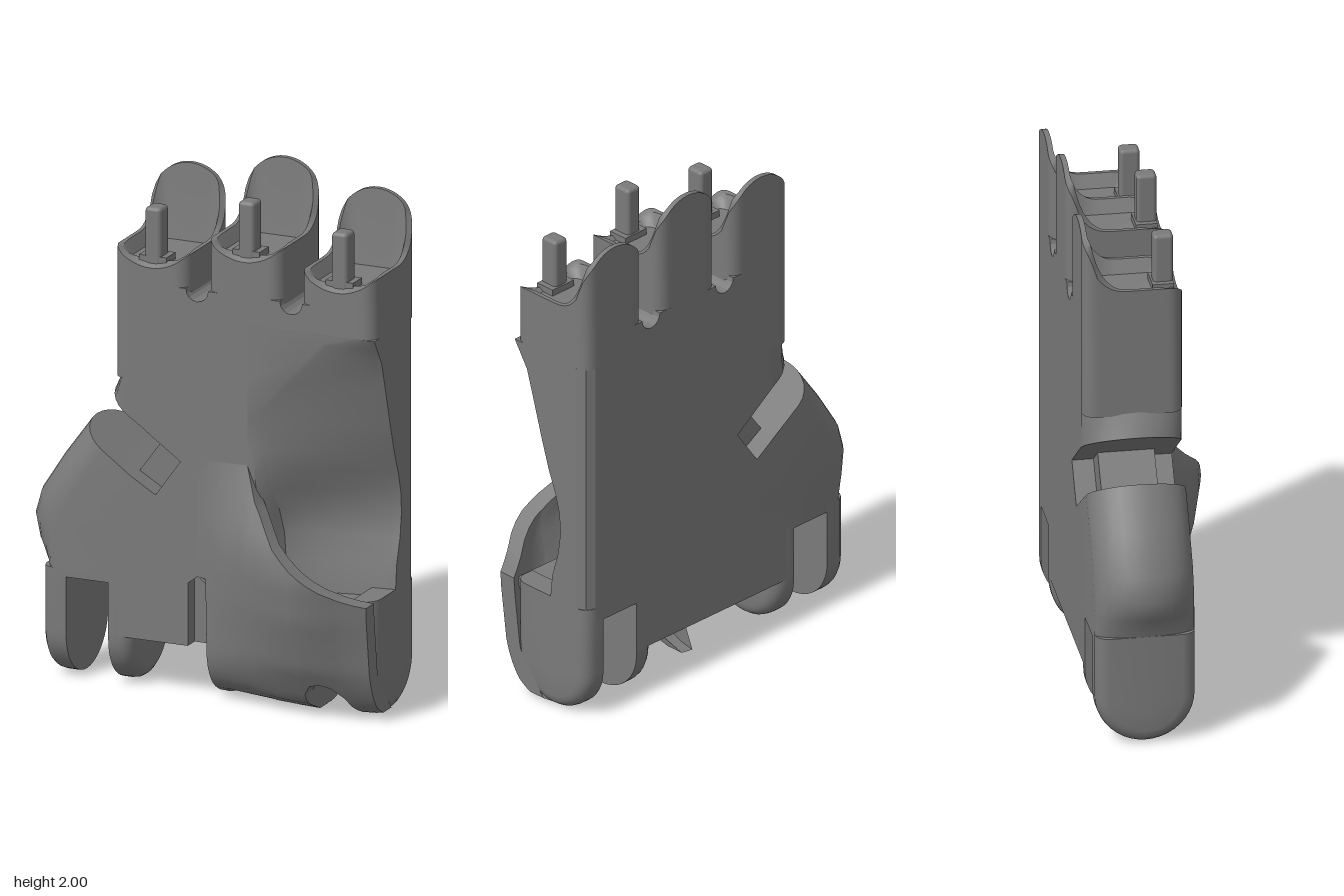
import * as THREE from 'three';
import { toCreasedNormals } from 'three/addons/utils/BufferGeometryUtils.js';
import { RoundedBoxGeometry } from 'three/addons/geometries/RoundedBoxGeometry.js';

const BACK = -0.28, FRONT = 0.09, MID = -0.095, HALF = 0.185;
const clamp = THREE.MathUtils.clamp;
const V = (x, y, z) => new THREE.Vector3(x, y, z);

// Piecewise linear lookup in [[key, value], ...]
function table(rows, k) {
  if (k <= rows[0][0]) return rows[0][1];
  for (let i = 1; i < rows.length; i++) {
    const [a, va] = rows[i - 1], [b, vb] = rows[i];
    if (k <= b) return va + (vb - va) * (k - a) / (b - a);
  }
  return rows[rows.length - 1][1];
}

// Closed solid through rings of equal length, capped with fans and wound outwards
function loft(rings, crease = 0.55) {
  const tris = [], n = rings[0].length;
  for (let i = 0; i < rings.length - 1; i++) {
    for (let j = 0; j < n; j++) {
      const k = (j + 1) % n, a = rings[i], b = rings[i + 1];
      tris.push([a[j], a[k], b[k]], [a[j], b[k], b[j]]);
    }
  }
  for (const [ring, flip] of [[rings[0], true], [rings[rings.length - 1], false]]) {
    const c = ring.reduce((s, p) => s.add(p), V(0, 0, 0)).divideScalar(n);
    for (let j = 0; j < n; j++) {
      const k = (j + 1) % n;
      tris.push(flip ? [c, ring[k], ring[j]] : [c, ring[j], ring[k]]);
    }
  }
  let vol = 0;
  for (const [a, b, c] of tris) vol += a.dot(V(0, 0, 0).crossVectors(b, c));
  const pos = [];
  for (const [a, b, c] of tris) for (const p of vol < 0 ? [a, c, b] : [a, b, c]) pos.push(p.x, p.y, p.z);
  const g = new THREE.BufferGeometry();
  g.setAttribute('position', new THREE.Float32BufferAttribute(pos, 3));
  return toCreasedNormals(g, crease);
}

// Flat plate from an outline in x, y
function plate(points, z0, z1) {
  const shape = new THREE.Shape(points.map(p => new THREE.Vector2(...p)));
  return new THREE.ExtrudeGeometry(shape, { depth: z1 - z0, bevelEnabled: false }).translate(0, 0, z0);
}

function block(x0, x1, y0, y1, z0, z1) {
  return new THREE.BoxGeometry(x1 - x0, y1 - y0, z1 - z0).translate((x0 + x1) / 2, (y0 + y1) / 2, (z0 + z1) / 2);
}

// Round bottom of the gap between two fingers, from right to left
function gap(cx) {
  return Array.from({ length: 9 }, (_, i) => {
    const a = Math.PI * i / 8;
    return [cx + 0.045 * Math.cos(a), 1.565 - 0.045 * Math.sin(a)];
  });
}

// Finger base: rounded column with a scooped socket and a domed back
function fingerBase(cx, bottom, base) {
  const hw = 0.15, r = 0.05, s = new THREE.Shape();
  s.absarc(hw - r, HALF - r, r, 0, Math.PI / 2);
  s.absarc(-hw + r, HALF - r, r, Math.PI / 2, Math.PI);
  s.absarc(-hw + r, -HALF + r, r, Math.PI, Math.PI * 1.5);
  s.absarc(hw - r, -HALF + r, r, Math.PI * 1.5, Math.PI * 2);
  s.closePath();
  const outline = s.getSpacedPoints(80).slice(0, 80);
  const top = (x, z) => {
    const u = clamp(x / hw, -1, 1);
    const back = clamp((-z - 0.1) / 0.15, 0, 1), front = clamp(z / FRONT, 0, 1);
    return base + back ** 3 * (0.09 + 0.15 * Math.sqrt(1 - u * u)) - front * 0.065 * (1 - u * u);
  };
  const ring = (k, height) => outline.map(p => {
    const x = p.x * k, z = MID + p.y * k;
    return V(cx + x, height(x, z), z);
  });
  return loft([ring(1, () => bottom), ring(1, top), ring(0.89, top),
    ring(0.82, (x, z) => (top(x, z) + base) / 2 - 0.02), ring(0.72, () => base - 0.05)]);
}

// D-shaped sections with a round outer edge; rows hold outer x, y, inner x, y and edge depth
function roundEdged(rows) {
  return loft(rows.map(([ox, oy, ix, iy, r]) => {
    const len = Math.hypot(ix - ox, iy - oy), ring = [];
    const at = (d, z) => V(ox + (ix - ox) * d / len, oy + (iy - oy) * d / len, z);
    for (let i = 0; i <= 14; i++) {
      const a = Math.PI * i / 14;
      ring.push(at(r * (1 - Math.sin(a)), MID + HALF * Math.cos(a)));
    }
    ring.push(at(len, BACK), at(len, FRONT));
    return ring;
  }), 0.7);
}

// Outer side of the palm, its front hollowed towards the cup
function hollowedSide() {
  const start = [[0.4, 0.3], [0.8, 0.24], [1.1, 0.2], [1.42, 0.5], [1.46, 0.62]];
  const edge = [[0.4, -0.09], [0.5, -0.09], [0.6, -0.12], [0.7, -0.15], [0.85, -0.14],
    [1, -0.08], [1.2, -0.02], [1.35, 0.02], [1.46, FRONT]];
  const power = [[0.7, 0.3], [1, 1]];
  const rings = [1.46, 1.42, 1.36, 1.25, 1.1, 0.98, 0.9, 0.82, 0.74, 0.65, 0.55, 0.4].map(y => {
    const x0 = table(start, y), z1 = table(edge, y);
    const ring = [V(0.2, y, BACK), V(0.66, y, BACK), V(0.695, y, BACK + 0.015), V(0.71, y, BACK + 0.05)];
    for (let i = 12; i >= 0; i--) {
      const x = x0 + (0.71 - x0) * i / 12;
      ring.push(V(x, y, FRONT + (z1 - FRONT) * (i / 12) ** table(power, y)));
    }
    ring.push(V(0.2, y, FRONT));
    return ring;
  });
  return loft(rings, 0.4);
}

// Bulging cup at the heel of the hand, cut by a slanted rim
function cup() {
  const peak = [[0, 0], [0.05, 0.11], [0.2, 0.2], [0.4, 0.265], [0.55, 0.29], [0.65, 0.28], [0.8, 0.17], [0.92, FRONT]];
  const weight = [[0, 0], [0.37, 0.88], [0.47, 1], [0.55, 0.9], [0.71, 0.4]];
  const rim = [[0.2, 0.92], [0.25, 0.8], [0.35, 0.68], [0.45, 0.6], [0.55, 0.53], [0.64, 0.48], [0.71, 0.46]];
  const stations = [[0, 0.47], [0.039, 0.47], [0.04, 0], [0.085, 0], [0.09, 0.04], [0.15, 0.035], [0.2, 0.03],
    [0.25, 0.025], [0.28, 0.02], [0.281, 0], [0.33, 0], [0.37, 0], [0.41, 0], [0.45, 0], [0.451, 0.09], [0.48, 0.13],
    [0.52, 0.14], [0.56, 0.13], [0.6, 0.09], [0.619, 0.02], [0.62, 0], [0.67, 0], [0.71, 0.02]];
  const outer = (x, y) => {
    const d = Math.max(0, HALF - y), base = MID + Math.sqrt(Math.max(0, HALF * HALF - d * d));
    return base + (table(peak, y) - base) * table(weight, x);
  };
  return loft(stations.map(([x, low]) => {
    const out = [], inn = [], high = table(rim, x);
    for (let i = 0; i <= 20; i++) {
      const y = Math.max(low, high * (i / 20) ** 1.4), z = outer(x, y);
      out.push(V(x, y, z));
      inn.unshift(V(x, y, z - 0.07));
    }
    return out.concat(inn);
  }), 0.6);
}

// Wrist hinge lug with a round lower end, its edge rounded on one face only
function lug(roundX, flatX, top) {
  const b = 0.05, dir = Math.sign(flatX - roundX);
  const ring = (x, inset) => {
    const r = HALF - inset, pts = [V(x, top, MID + r)];
    for (let i = 0; i <= 20; i++) {
      const a = Math.PI * i / 20;
      pts.push(V(x, HALF - r * Math.sin(a), MID + r * Math.cos(a)));
    }
    return pts.concat(V(x, top, MID - r));
  };
  const rings = [0, 1, 2, 3, 4].map(i => {
    const a = Math.PI / 2 * i / 4;
    return ring(roundX + dir * b * (1 - Math.cos(a)), b * (1 - Math.sin(a)));
  });
  return loft([...rings, ring(flatX, 0)], 0.6);
}

export function createModel() {
  const group = new THREE.Group();
  const material = new THREE.MeshStandardMaterial({ color: 0x7a7a7a });
  const add = (name, geometry) => {
    const mesh = new THREE.Mesh(geometry, material);
    mesh.name = name;
    group.add(mesh);
  };

  // Palm with the thumb notch and the small groove at the wrist
  add('palm', plate([[-0.25, 1.565], [-0.25, 1.029], [-0.07, 0.9], [-0.17, 0.76],
    [-0.2, 0.6], [-0.36, 0.42], [-0.36, 0.2], [-0.04, 0.2], [-0.04, 0.44], [0, 0.47], [0.04, 0.44], [0.04, 0.2],
    [0.2, 0.2], [0.2, 1.46], [0.62, 1.46], [0.62, 1.565], ...gap(0.375), ...gap(-0.003)], BACK, FRONT));
  add('notchWeb', plate([[-0.16, 0.97], [-0.27, 0.82], [-0.17, 0.76], [-0.07, 0.9]], -0.2, 0.01));
  add('grooveFloor', block(-0.05, 0.05, 0.2, 0.48, BACK, 0.03));
  add('wristBlock', block(0.2, 0.45, 0.2, 0.4, BACK, FRONT));

  // Round thumb side below the notch and round lip above it
  add('thumbWing', roundEdged([
    [-0.49, 0.98, -0.27, 0.82, 0.13], [-0.6, 0.83, -0.17, 0.76, 0.15], [-0.69, 0.69, -0.15, 0.62, 0.16],
    [-0.715, 0.6, -0.12, 0.56, 0.16], [-0.69, 0.52, -0.1, 0.5, 0.12], [-0.63, 0.43, -0.1, 0.43, 0.05],
    [-0.63, 0.4, -0.1, 0.4, 0.05]]));
  add('notchLip', roundEdged([[-0.34, 1.2, -0.2, 1.2, 0.05], [-0.39, 1.12, -0.16, 0.97, 0.13]]));

  add('hollowedSide', hollowedSide());
  add('cup', cup());
  add('cupFloor', block(0.3, 0.66, 0.39, 0.43, -0.12, 0.13));

  // Finger bases and their upright pins
  for (const [cx, bottom, base] of [[-0.19, 1.19, 1.69], [0.185, 1.4, 1.76], [0.56, 1.46, 1.69]]) {
    add('fingerBase', fingerBase(cx, bottom, base));
    add('fingerPin', new RoundedBoxGeometry(0.065, 0.24, 0.075, 2, 0.015).translate(cx, base + 0.04, 0.035));
    add('pinFoot', block(cx - 0.055, cx + 0.055, base - 0.1, base - 0.025, -0.01, 0.07));
  }

  // Wrist lugs
  for (const [roundX, flatX, top] of [[-0.63, -0.53, 0.43], [-0.27, -0.36, 0.41], [0.36, 0.45, 0.4], [0.71, 0.62, 0.46]]) {
    add('wristLug', lug(roundX, flatX, top));
  }
  return group;
}
